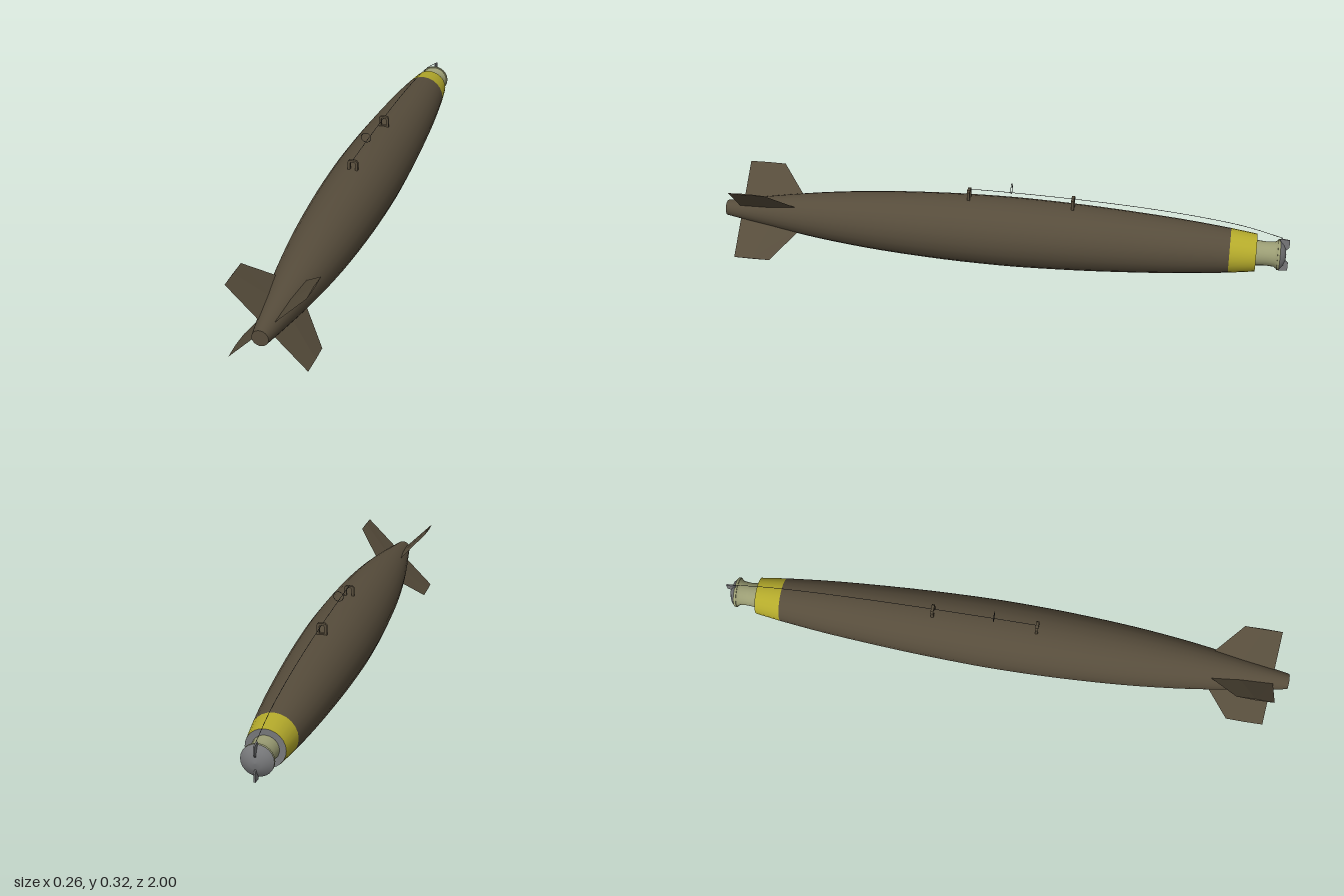
import * as THREE from 'three';

const mat = (name, color) => {
  const m = new THREE.MeshStandardMaterial({ color, side: THREE.DoubleSide });
  m.name = name;
  return m;
};

export function createModel() {
  const olive = mat('olive drab', 0x564c3b);
  const yellow = mat('yellow band', 0xb4aa2b);
  const pale = mat('pale fuze metal', 0x9b9d74);
  const grey = mat('grey metal', 0x77787a);
  const black = mat('dark wire', 0x2a2a2a);

  const root = new THREE.Group();
  root.name = 'bomb';
  const AXIS = 0.131;

  const add = (geo, material, name, parent = root) => {
    const m = new THREE.Mesh(geo, material);
    m.name = name;
    parent.add(m);
    return m;
  };

  // Turned parts: [radius, z] pairs in rising z, spun about the long axis
  const turned = (pts, material, name) => {
    const geo = new THREE.LatheGeometry(pts.map(([r, z]) => new THREE.Vector2(r, z)), 24);
    geo.rotateX(Math.PI / 2);
    add(geo, material, name).position.y = AXIS;
  };

  // Casing
  const hull = new THREE.SplineCurve([
    [0.077, -0.8], [0.095, -0.62], [0.112, -0.36], [0.12, -0.15], [0.122, 0],
    [0.118, 0.2], [0.106, 0.42], [0.089, 0.6], [0.069, 0.75], [0.046, 0.89], [0.027, 1],
  ].map(([r, z]) => new THREE.Vector2(r, z)));
  turned(hull.getPoints(30).map((p) => [p.x, p.y]), olive, 'casing');
  turned([[0.027, 1], [0, 1]], olive, 'tailCap');
  turned([[0.065, -0.89], [0.077, -0.8]], yellow, 'noseBand');
  turned([[0.04, -0.889], [0.065, -0.89]], grey, 'noseFace');

  // Fuze
  turned([[0.05, -0.962], [0.043, -0.952], [0.041, -0.925], [0.044, -0.885]], pale, 'fuzeBody');
  turned([[0.053, -0.97], [0.053, -0.962]], pale, 'fuzeRim');
  turned([[0.053, -0.962], [0.04, -0.961]], pale, 'fuzeRimBack');
  turned([[0, -0.992], [0.02, -0.99], [0.038, -0.982], [0.053, -0.97]], grey, 'fuzeDome');

  // Arming vanes above and below the dome
  for (const s of [1, -1]) {
    const shape = new THREE.Shape([
      [0.96, 0.04], [0.97, 0.062], [1, 0.058], [1, 0.03], [0.985, 0.015],
    ].map(([z, r]) => new THREE.Vector2(z, r * s)));
    const geo = new THREE.ExtrudeGeometry(shape, { depth: 0.005, bevelEnabled: false });
    geo.translate(0, 0, -0.0025).rotateY(Math.PI / 2);
    add(geo, grey, 'armingVane').position.y = AXIS;
  }

  // Tail fins: thin lens section, thickest at mid chord
  const finGeometry = () => {
    const pos = [];
    const ring = (r, z0, z1, t) => {
      const mid = (z0 + z1) / 2;
      return [[r, 0, z0], [r, t, mid], [r, 0, z1], [r, -t, mid]];
    };
    const a = ring(0.034, 0.7, 0.945, 0.004);
    const b = ring(0.1824, 0.815, 0.945, 0.0025);
    for (let i = 0; i < 4; i++) {
      const j = (i + 1) % 4;
      pos.push(...a[i], ...b[j], ...b[i], ...a[i], ...a[j], ...b[j]);
    }
    pos.push(...b[0], ...b[1], ...b[2], ...b[0], ...b[2], ...b[3]);
    const geo = new THREE.BufferGeometry();
    geo.setAttribute('position', new THREE.Float32BufferAttribute(pos, 3));
    geo.computeVertexNormals();
    return geo;
  };
  for (let i = 0; i < 4; i++) {
    const fin = add(finGeometry(), olive, 'tailFin');
    fin.position.y = AXIS;
    fin.rotation.z = Math.PI / 4 + (i * Math.PI) / 2;
  }

  // Suspension lugs with an open eye
  const lug = new THREE.Shape([
    [-0.018, 0.235], [0.018, 0.235], [0.018, 0.279], [0.012, 0.286], [-0.012, 0.286], [-0.018, 0.279],
  ].map(([x, y]) => new THREE.Vector2(x, y)));
  lug.holes.push(new THREE.Path([
    [-0.009, 0.25], [-0.009, 0.275], [-0.006, 0.279], [0.006, 0.279], [0.009, 0.275], [0.009, 0.25],
  ].map(([x, y]) => new THREE.Vector2(x, y))));
  for (const z of [0.11, -0.255]) {
    const geo = new THREE.ExtrudeGeometry(lug, { depth: 0.01, bevelEnabled: false });
    add(geo, olive, 'suspensionLug').position.z = z - 0.005;
  }

  // Arming wire and its ring
  const path = new THREE.CatmullRomCurve3([
    [0.11, 0.286], [-0.04, 0.285], [-0.255, 0.28], [-0.5, 0.268],
    [-0.7, 0.25], [-0.85, 0.228], [-0.975, 0.196],
  ].map(([z, y]) => new THREE.Vector3(0, y, z)));
  add(new THREE.TubeGeometry(path, 40, 0.0009, 6), black, 'armingWire');
  add(new THREE.TorusGeometry(0.0175, 0.001, 6, 32), black, 'wireRing').position.set(0, 0.3005, -0.04);

  return root;
}
